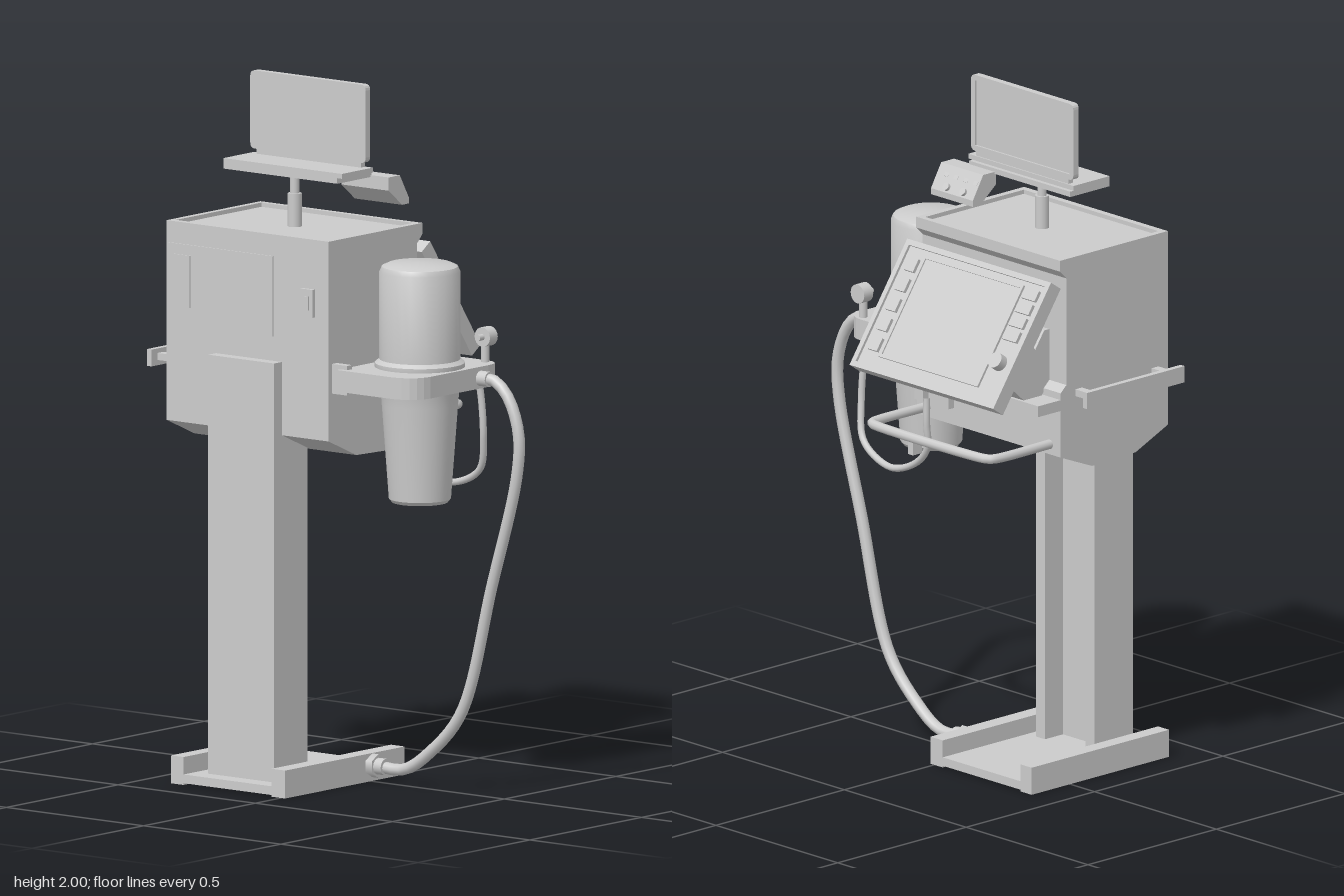
import * as THREE from 'three';
import { toCreasedNormals } from 'three/addons/utils/BufferGeometryUtils.js';

const grey = new THREE.MeshStandardMaterial({ color: 0xcccccc });

function add(parent, name, geometry, x = 0, y = 0, z = 0) {
  const mesh = new THREE.Mesh(geometry, grey);
  mesh.name = name;
  mesh.position.set(x, y, z);
  parent.add(mesh);
  return mesh;
}

// Box given by its limits on each axis
function box(parent, name, x0, x1, y0, y1, z0, z1) {
  return add(parent, name, new THREE.BoxGeometry(x1 - x0, y1 - y0, z1 - z0),
    (x0 + x1) / 2, (y0 + y1) / 2, (z0 + z1) / 2);
}

// Side profile in x and y, carried along z
function prism(parent, name, points, z0, z1) {
  const shape = new THREE.Shape(points.map(([x, y]) => new THREE.Vector2(x, y)));
  return add(parent, name, new THREE.ExtrudeGeometry(shape, { depth: z1 - z0, bevelEnabled: false }), 0, 0, z0);
}

// Rod between two heights, or along another axis
function rod(parent, name, r, length, x, y, z, axis = 'y', sides = 16) {
  const g = new THREE.CylinderGeometry(r, r, length, sides);
  if (axis === 'x') g.rotateZ(-Math.PI / 2);
  if (axis === 'z') g.rotateX(Math.PI / 2);
  return add(parent, name, g, x, y, z);
}

function hose(parent, name, points, r, segments = 48) {
  const curve = new THREE.CatmullRomCurve3(points.map(p => new THREE.Vector3(...p)), false, 'centripetal');
  return add(parent, name, new THREE.TubeGeometry(curve, segments, r, 10));
}

// Rectangular rim in the local y-z plane, standing out from x0 to x1
function rim(parent, name, x0, x1, y0, y1, z0, z1, t) {
  box(parent, name, x0, x1, y0, y0 + t, z0, z1);
  box(parent, name, x0, x1, y1 - t, y1, z0, z1);
  box(parent, name, x0, x1, y0 + t, y1 - t, z0, z0 + t);
  box(parent, name, x0, x1, y0 + t, y1 - t, z1 - t, z1);
}

function buildStand(root) {
  const g = new THREE.Group();
  g.name = 'stand';
  root.add(g);
  box(g, 'baseFloor', -0.385, 0.15, 0.005, 0.03, -0.4, 0.015);
  box(g, 'baseFrontWall', -0.385, 0.15, 0, 0.08, -0.035, 0.015);
  box(g, 'baseBackWall', -0.385, 0.15, 0, 0.08, -0.4, -0.355);
  // Channel column, open towards the console side
  box(g, 'columnWeb', -0.33, -0.25, 0.03, 1.23, -0.31, -0.07);
  box(g, 'columnFrontFlange', -0.25, -0.18, 0.03, 1.0, -0.107, -0.07);
  box(g, 'columnBackFlange', -0.25, -0.18, 0.03, 1.0, -0.31, -0.273);
}

function buildBody(root) {
  const g = new THREE.Group();
  g.name = 'cabinet';
  root.add(g);
  prism(g, 'cabinetShell', [[-0.295, 1.02], [-0.17, 0.965], [0, 0.96], [0.122, 1.01], [0.122, 1.2],
    [0.1, 1.22], [0.1, 1.535], [0.125, 1.56], [0.125, 1.58], [-0.295, 1.58]], -0.49, 0.1);
  // Raised edge around the top
  box(g, 'topRim', -0.295, -0.275, 1.58, 1.592, -0.49, 0.1);
  box(g, 'topRim', 0.108, 0.125, 1.58, 1.592, -0.49, 0.1);
  box(g, 'topRim', -0.275, 0.108, 1.58, 1.592, -0.49, -0.472);
  box(g, 'topRim', -0.275, 0.108, 1.58, 1.592, 0.08, 0.1);
  // Service panel and switch on the outer side
  box(g, 'servicePanel', -0.299, -0.29, 1.3, 1.53, -0.48, -0.1);
  box(g, 'vent', -0.302, -0.29, 1.35, 1.5, -0.465, -0.4);
  box(g, 'switchPlate', -0.306, -0.29, 1.37, 1.45, 0.005, 0.05);
  box(g, 'switchRocker', -0.31, -0.3, 1.39, 1.43, 0.018, 0.038);
  // Shelf under the console with hanging hooks
  box(g, 'shelf', 0.1, 0.21, 1.148, 1.18, -0.49, 0.1);
  for (const z of [0, -0.105]) {
    box(g, 'hookStem', 0.125, 0.15, 1.1, 1.15, z - 0.018, z + 0.018);
    box(g, 'hookTip', 0.19, 0.21, 1.09, 1.15, z - 0.018, z + 0.018);
  }
  // Push handle
  hose(g, 'handle', [[0.1, 1.04, 0.058], [0.32, 1.04, 0.058], [0.345, 1.04, 0.05], [0.354, 1.04, 0.025],
    [0.354, 1.04, -0.41], [0.345, 1.04, -0.435], [0.32, 1.04, -0.444], [0.1, 1.04, -0.444]], 0.014, 60);
  box(g, 'handleClip', 0.33, 0.365, 0.99, 1.03, -0.14, -0.12).visible = true;
  // Accessory rail on the back
  box(g, 'railBar', -0.285, 0.095, 1.165, 1.213, -0.57, -0.553);
  for (const x of [-0.245, 0.052]) box(g, 'railPost', x - 0.013, x + 0.013, 1.18, 1.2, -0.556, -0.485);
}

function buildConsole(root) {
  // Arm behind the tilted console
  prism(root, 'consoleArm', [[0.095, 1.22], [0.13, 1.18], [0.2, 1.18], [0.31, 1.28], [0.22, 1.4],
    [0.155, 1.32], [0.12, 1.37], [0.095, 1.37]], -0.42, 0.03);
  // Local x points out of the console face, local y runs up it
  const g = new THREE.Group();
  g.name = 'console';
  g.position.set(0.2725, 1.372, -0.195);
  g.rotation.z = 0.605;
  root.add(g);
  const h = 0.198, w = 0.295;
  box(g, 'consoleCase', -0.046, -0.008, -h, h, -w, w);
  rim(g, 'consoleRim', -0.008, 0, -h, h, -w, w, 0.016);
  rim(g, 'screenFrame', -0.008, -0.001, -0.15, 0.168, -0.2, 0.208, 0.01);
  box(g, 'screen', -0.008, -0.005, -0.14, 0.158, -0.19, 0.198);
  for (let i = 0; i < 5; i++) {
    const y = 0.13 - i * 0.062;
    box(g, 'leftButton', -0.008, 0.002, y - 0.02, y + 0.02, 0.218, 0.258);
  }
  for (let i = 0; i < 4; i++) {
    const y = 0.148 - i * 0.043;
    box(g, 'rightButton', -0.008, 0.002, y - 0.016, y + 0.016, -0.268, -0.21);
  }
  rod(g, 'dial', 0.024, 0.028, 0.005, -0.065, -0.238, 'x', 20);
}

function buildDisplay(root) {
  const g = new THREE.Group();
  g.name = 'display';
  root.add(g);
  rod(g, 'lowerPost', 0.02, 0.1, -0.09, 1.625, -0.19);
  rod(g, 'upperPost', 0.013, 0.1, -0.09, 1.7, -0.19);
  box(g, 'tray', -0.158, -0.018, 1.748, 1.762, -0.395, 0.037);
  box(g, 'trayUnderside', -0.158, -0.005, 1.732, 1.748, -0.395, 0.02);
  box(g, 'screenFoot', -0.04, -0.022, 1.76, 1.78, -0.37, 0.01);
  // Upright monitor with rounded corners and an inset face
  const outline = new THREE.Shape();
  const w = 0.21, h = 0.112, r = 0.016;
  outline.moveTo(-w + r, -h);
  outline.lineTo(w - r, -h).quadraticCurveTo(w, -h, w, -h + r);
  outline.lineTo(w, h - r).quadraticCurveTo(w, h, w - r, h);
  outline.lineTo(-w + r, h).quadraticCurveTo(-w, h, -w, h - r);
  outline.lineTo(-w, -h + r).quadraticCurveTo(-w, -h, -w + r, -h);
  const monitor = (name, shape, depth, x) => {
    const geo = new THREE.ExtrudeGeometry(shape, { depth, bevelEnabled: false, curveSegments: 4 });
    add(g, name, geo.rotateY(Math.PI / 2), x, 1.888, -0.182);
  };
  monitor('monitorBack', outline, 0.015, -0.041);
  const frame = outline.clone();
  const a = w - 0.016, b = h - 0.016;
  frame.holes.push(new THREE.Path([[-a, -b], [-a, b], [a, b], [a, -b]].map(p => new THREE.Vector2(...p))));
  monitor('monitorBezel', frame, 0.006, -0.026);
  // Small sloped control box
  prism(g, 'controlBox', [[-0.01, 1.7], [0.05, 1.652], [0.08, 1.652], [0.08, 1.67], [0.04, 1.738], [-0.01, 1.738]], -0.085, 0.087);
  for (let i = 0; i < 4; i++) {
    const z = 0.05 - i * 0.04;
    const key = box(g, 'controlKey', 0.046, 0.056, 1.705, 1.717, z - 0.008, z + 0.008);
    key.rotation.z = 0.59;
  }
  for (const z of [0.028, -0.04]) {
    const knob = rod(g, 'controlKnob', 0.011, 0.022, 0.07, 1.682, z, 'x');
    knob.rotation.z = 0.59;
  }
}

function buildCanister(root) {
  const g = new THREE.Group();
  g.name = 'canisterHolder';
  root.add(g);
  // Bracket plate with rounded outer corners
  const s = new THREE.Shape();
  s.moveTo(-0.295, 0.13);
  s.lineTo(0.103, 0.13);
  s.lineTo(0.103, 0.355).quadraticCurveTo(0.1, 0.41, 0.04, 0.41);
  s.lineTo(-0.22, 0.41).quadraticCurveTo(-0.285, 0.405, -0.295, 0.335);
  const plate = new THREE.ExtrudeGeometry(s, { depth: 0.062, bevelEnabled: false, curveSegments: 5 });
  add(g, 'bracketPlate', plate.rotateX(Math.PI / 2), 0, 1.228);
  for (const x of [-0.268, 0.075]) box(g, 'bracketClamp', x - 0.011, x + 0.011, 1.155, 1.24, 0.09, 0.155);
  // Canister: tapered cup below, straight bottle above
  const profile = [[0, 0.84], [0.08, 0.84], [0.088, 0.85], [0.108, 1.12], [0.112, 1.165], [0.128, 1.225], [0.128, 1.24],
    [0.115, 1.25], [0.115, 1.5], [0.108, 1.515], [0.09, 1.523], [0, 1.525]];
  const lathe = new THREE.LatheGeometry(profile.map(p => new THREE.Vector2(...p)), 28);
  add(g, 'canister', toCreasedNormals(lathe, 0.5), -0.095, 0, 0.27);
  // Gauge on a short stem, side connectors
  rod(g, 'gaugeStem', 0.012, 0.08, 0.08, 1.255, 0.365);
  rod(g, 'gauge', 0.028, 0.035, 0.085, 1.3, 0.365, 'x', 20);
  rod(g, 'gaugePin', 0.009, 0.03, 0.062, 1.3, 0.365, 'x');
  for (const z of [0.165, 0.212]) rod(g, 'connector', 0.015, 0.025, 0.108, 1.192, z, 'x');
  rod(g, 'thinHosePort', 0.014, 0.025, 0.108, 1.192, 0.305, 'x');
}

function buildHoses(root) {
  hose(root, 'supplyHose', [[0.005, 0.045, 0.03], [0.005, 0.045, 0.13], [0.005, 0.1, 0.22], [0.005, 0.23, 0.34],
    [0.005, 0.6, 0.45], [0.005, 0.93, 0.542], [0.005, 1.05, 0.548], [0.005, 1.15, 0.51],
    [0.005, 1.193, 0.46], [0.005, 1.195, 0.4]], 0.017);
  rod(root, 'baseFitting', 0.034, 0.025, 0.005, 0.045, 0.025, 'z', 6);
  rod(root, 'baseFittingSleeve', 0.024, 0.03, 0.005, 0.045, 0.05, 'z');
  rod(root, 'holderFitting', 0.022, 0.045, 0.005, 1.195, 0.42, 'z');
  hose(root, 'thinHose', [[0.105, 1.19, 0.305], [0.125, 1.16, 0.305], [0.14, 1, 0.31], [0.16, 0.9, 0.28],
    [0.173, 0.85, 0.16], [0.178, 0.885, 0.05], [0.19, 0.95, -0.015], [0.2, 1.02, -0.022],
    [0.2, 1.1, -0.022]], 0.01);
}

export function createModel() {
  const root = new THREE.Group();
  root.name = 'medicalCart';
  for (const build of [buildStand, buildBody, buildConsole, buildDisplay, buildCanister, buildHoses]) build(root);
  return root;
}
